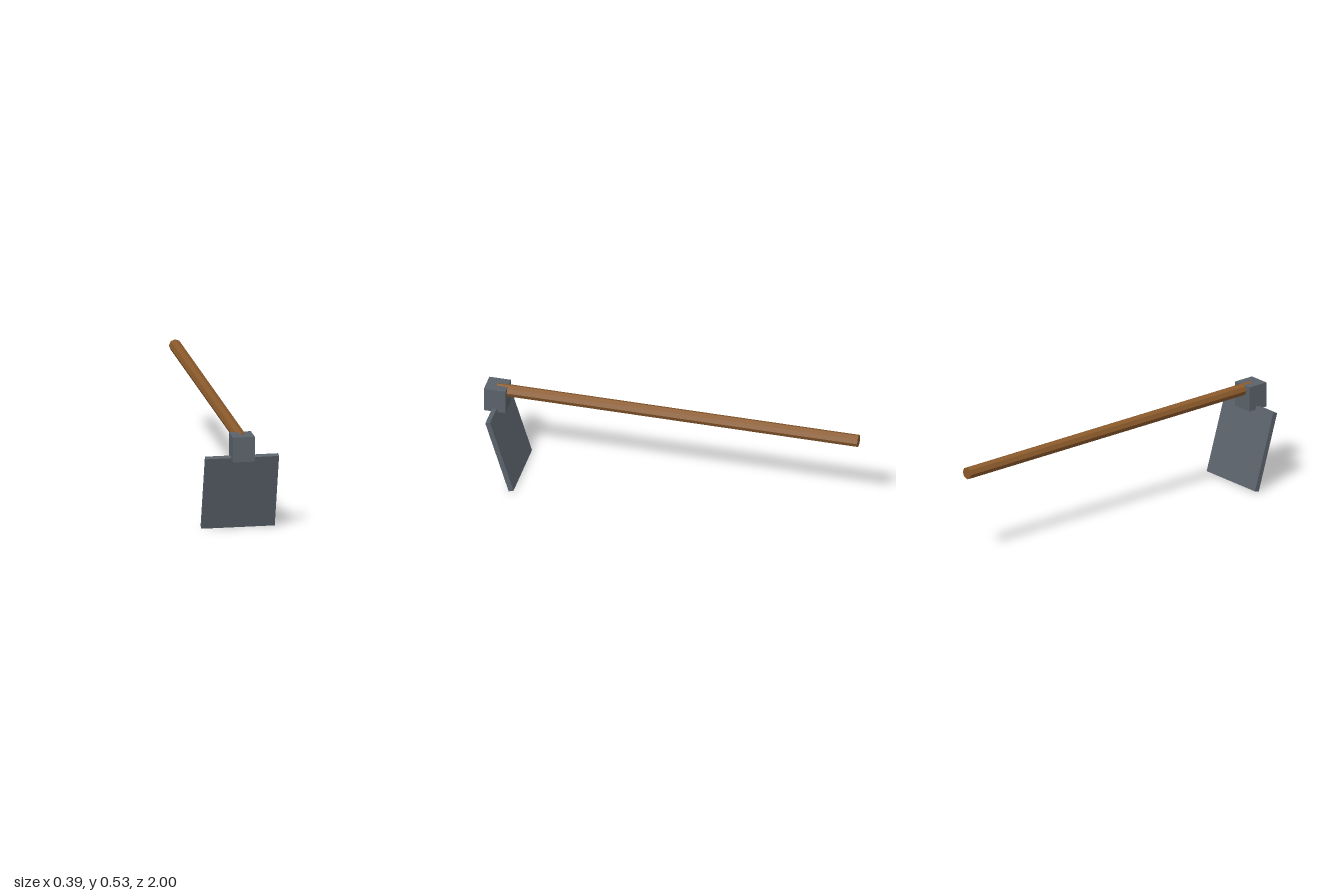
import * as THREE from 'three';

export function createModel() {
  const group = new THREE.Group();
  const wood = new THREE.MeshStandardMaterial({ color: 0x8b5a2b, flatShading: true });
  const steel = new THREE.MeshStandardMaterial({ color: 0x5a626a, flatShading: true });

  const add = (name, geometry, material, y, z, tilt = 0) => {
    const mesh = new THREE.Mesh(geometry, material);
    mesh.name = name;
    mesh.position.set(0, y, z);
    mesh.rotation.x = tilt;
    group.add(mesh);
  };

  // Eight-sided shaft, running from the back into the middle of the socket
  const shaftEnd = 0.942;
  add('handle', new THREE.CylinderGeometry(0.0325, 0.0325, 1 + shaftEnd, 8), wood,
    0.5005, (shaftEnd - 1) / 2, Math.PI / 2);

  // Block joining shaft and blade
  add('socket', new THREE.BoxGeometry(0.116, 0.134, 0.116), steel, 0.461, 0.942);

  // Flat blade, its lower edge raked back toward the user
  add('blade', new THREE.BoxGeometry(0.388, 0.426, 0.027), steel, 0.2075, 0.8815, 0.3);

  return group;
}
